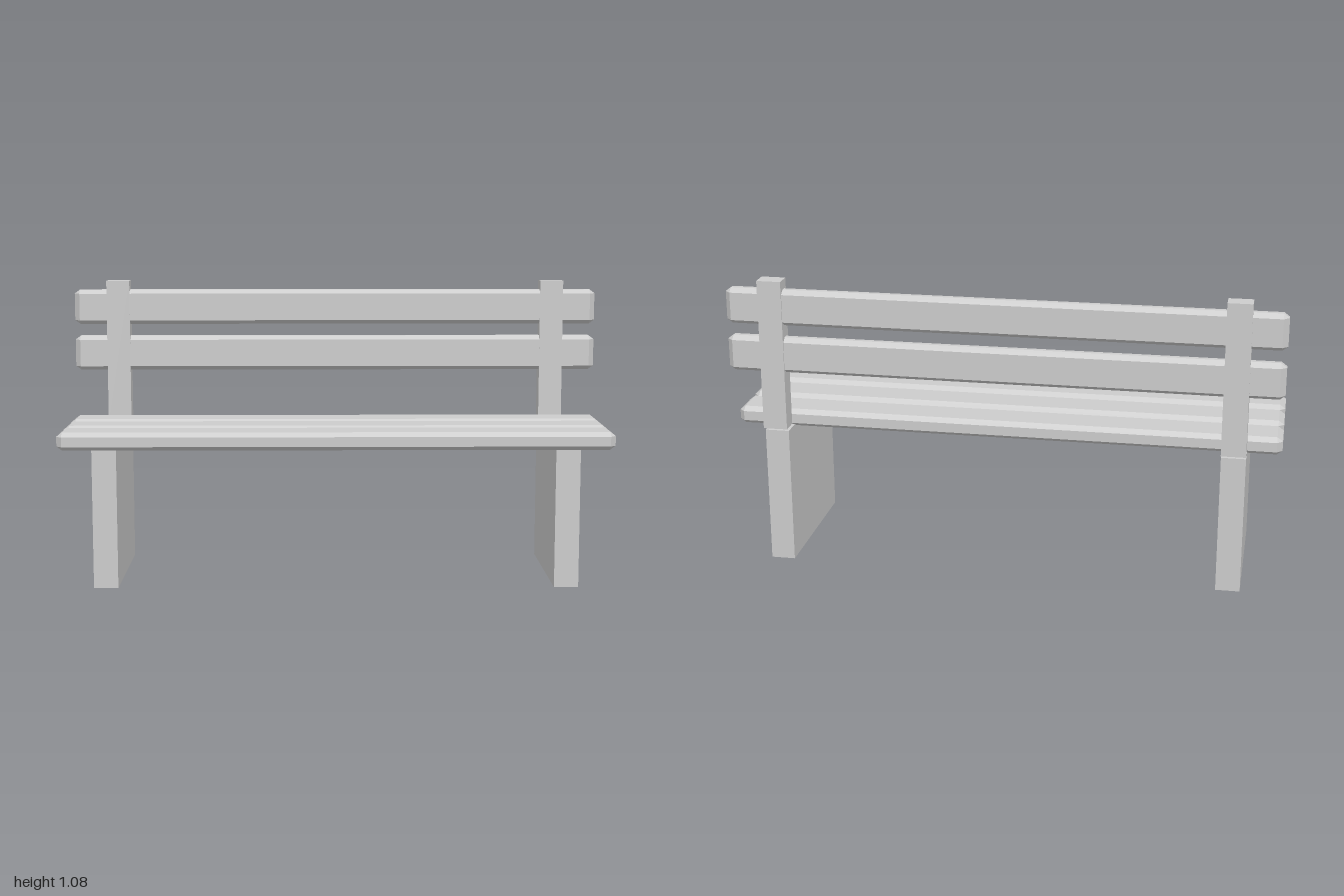
import * as THREE from 'three';
import { ConvexGeometry } from 'three/addons/geometries/ConvexGeometry.js';

// Plank with every edge and corner cut off by the chamfer c
function chamferedPlank(size, c) {
  const h = size.clone().multiplyScalar(0.5);
  const points = [];
  for (const sx of [-1, 1]) for (const sy of [-1, 1]) for (const sz of [-1, 1]) {
    points.push(
      new THREE.Vector3(sx * h.x, sy * (h.y - c.y), sz * (h.z - c.z)),
      new THREE.Vector3(sx * (h.x - c.x), sy * h.y, sz * (h.z - c.z)),
      new THREE.Vector3(sx * (h.x - c.x), sy * (h.y - c.y), sz * h.z)
    );
  }
  return new ConvexGeometry(points);
}

export function createModel() {
  const bench = new THREE.Group();
  bench.name = 'bench';
  const grey = new THREE.MeshStandardMaterial({ color: 0xcccccc });
  grey.name = 'plain grey';

  const add = (name, geometry, x, y, z) => {
    const mesh = new THREE.Mesh(geometry, grey);
    mesh.name = name;
    mesh.position.set(x, y, z);
    bench.add(mesh);
  };

  const chamfer = new THREE.Vector3(0.02, 0.015, 0.02);

  // Three seat slats
  const seatSlat = chamferedPlank(new THREE.Vector3(2, 0.065, 0.156), chamfer);
  for (const z of [0.222, 0.045, -0.132]) add('seatSlat', seatSlat, 0, 0.5355, z);

  // Two backrest slats
  const backSlat = chamferedPlank(new THREE.Vector3(2, 0.132, 0.059), chamfer);
  for (const y of [0.803, 0.98]) add('backSlat', backSlat, 0, y, -0.264);

  // Solid leg panels and the posts that carry the backrest
  const legPanel = new THREE.BoxGeometry(0.088, 0.511, 0.558);
  const backPost = new THREE.BoxGeometry(0.088, 0.556, 0.064);
  for (const [side, x] of [['left', 0.832], ['right', -0.832]]) {
    add(side + 'LegPanel', legPanel, x, 0.2555, 0.001);
    add(side + 'BackPost', backPost, x, 0.802, -0.266);
  }

  return bench;
}
